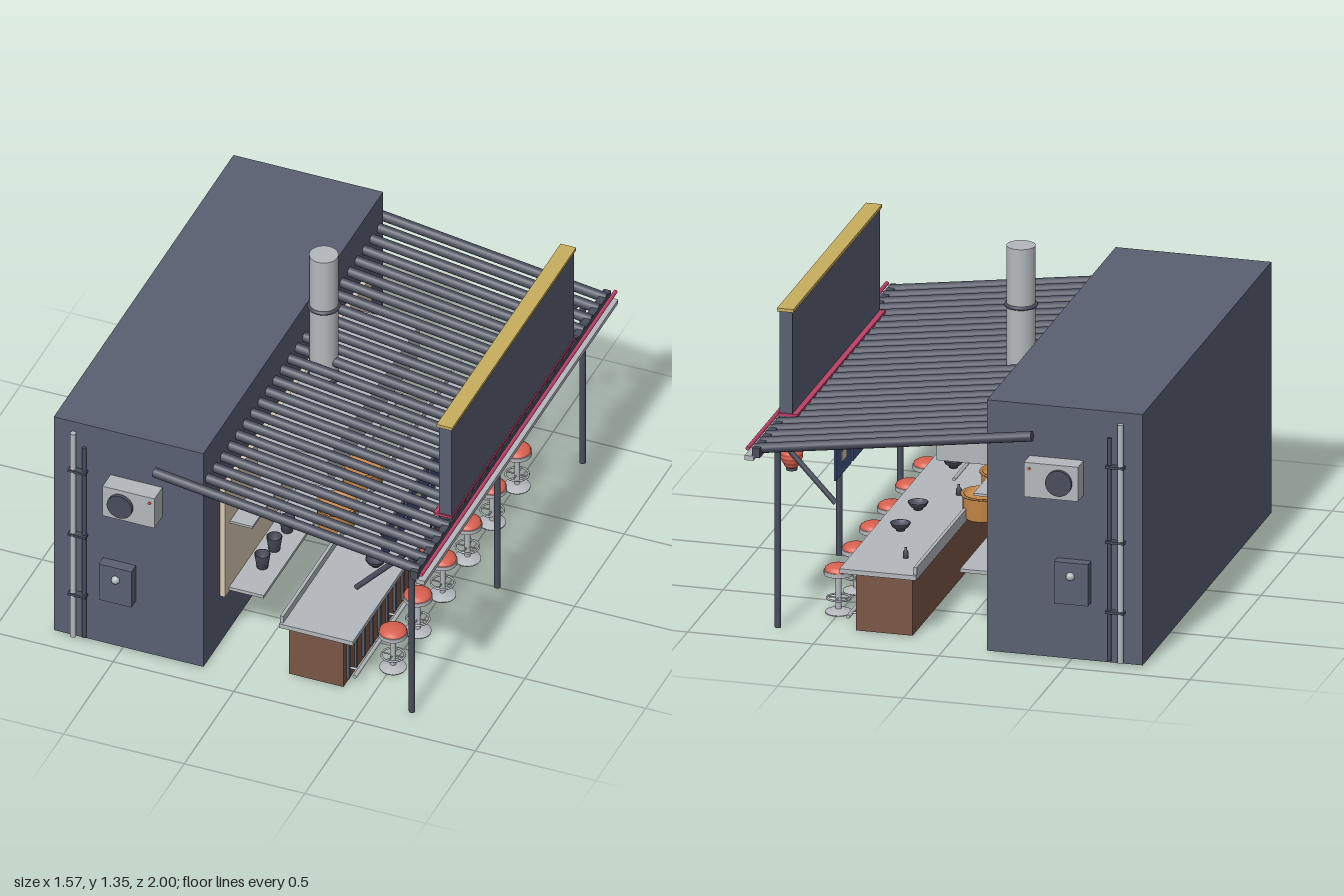
import * as THREE from 'three';

const mat = (name, color) => {
  const m = new THREE.MeshStandardMaterial({ color, side: THREE.DoubleSide });
  m.name = name;
  return m;
};

export function createModel() {
  const root = new THREE.Group();
  root.name = 'noodleBar';
  const wall = mat('slate wall', 0x5a6072), dark = mat('dark metal', 0x484d5b);
  const steel = mat('pale steel', 0xb4b8bc), wood = mat('brown wood', 0x7a5646);
  const copper = mat('copper', 0xc98a4b), cream = mat('cream', 0xd8cbb4);
  const blue = mat('banner blue', 0x405280), pink = mat('neon pink', 0xbb4068);
  const gold = mat('gold trim', 0xc8ad5f), red = mat('lantern red', 0xd9604f);

  // helpers: box by min/max, rod between two points, lathe from [r, y] pairs
  const add = (name, geo, m, parent = root) => {
    const mesh = new THREE.Mesh(geo, m);
    mesh.name = name;
    parent.add(mesh);
    return mesh;
  };
  const box = (name, m, x0, x1, y0, y1, z0, z1, parent) => {
    const b = add(name, new THREE.BoxGeometry(x1 - x0, y1 - y0, z1 - z0), m, parent);
    b.position.set((x0 + x1) / 2, (y0 + y1) / 2, (z0 + z1) / 2);
    return b;
  };
  const rod = (name, m, a, b, r, parent, sides = 14) => {
    const p = new THREE.Vector3(...a), q = new THREE.Vector3(...b);
    const c = add(name, new THREE.CylinderGeometry(r, r, p.distanceTo(q), sides), m, parent);
    c.position.copy(p).add(q).multiplyScalar(0.5);
    c.quaternion.setFromUnitVectors(new THREE.Vector3(0, 1, 0), q.sub(p).normalize());
    return c;
  };
  const lathe = (name, m, pts, x, y, z, parent, seg = 24) => {
    const l = add(name, new THREE.LatheGeometry(pts.map(p => new THREE.Vector2(...p)), seg), m, parent);
    l.position.set(x, y, z);
    return l;
  };
  const ring = (name, m, r, t, x, y, z, parent) => {
    const o = add(name, new THREE.TorusGeometry(r, t, 8, 28), m, parent);
    o.rotation.x = Math.PI / 2;
    o.position.set(x, y, z);
    return o;
  };
  const group = name => {
    const g = new THREE.Group();
    g.name = name;
    root.add(g);
    return g;
  };

  // main block and the serving wall
  box('building', wall, -0.785, -0.165, 0.005, 1.025, -0.905, 0.905);
  box('servingPanel', cream, -0.166, -0.143, 0.23, 0.75, -0.74, 0.74);
  box('lowerShelf', steel, -0.145, 0, 0.237, 0.251, -0.7, 0.7);
  box('upperShelf', steel, -0.145, -0.05, 0.55, 0.56, -0.69, 0.69);

  // equipment on both end walls
  for (const s of [1, -1]) {
    const g = group(s > 0 ? 'frontWallEquipment' : 'backWallEquipment');
    const zbox = (n, m, x0, x1, y0, y1, d) =>
      box(n, m, x0, x1, y0, y1, Math.min(s * 0.9, s * d), Math.max(s * 0.9, s * d), g);
    zbox('coolingUnit', steel, -0.55, -0.335, 0.675, 0.815, 0.985);
    rod('coolingFan', dark, [-0.475, 0.745, s * 0.95], [-0.475, 0.745, s], 0.052, g, 28);
    rod('statusLight', red, [-0.355, 0.79, s * 0.97], [-0.355, 0.79, s * 0.99], 0.006, g);
    zbox('meterBox', wall, -0.58, -0.445, 0.24, 0.41, 0.95);
    const knob = add('meterKnob', new THREE.SphereGeometry(0.017, 16, 10), steel, g);
    knob.position.set(-0.51, 0.355, s * 0.952);
    rod('drainPipe', steel, [-0.7, 0.01, s * 0.917], [-0.7, 0.98, s * 0.917], 0.012, g);
    rod('cablePipe', dark, [-0.655, 0.015, s * 0.914], [-0.655, 0.92, s * 0.914], 0.008, g);
    for (const y of [0.215, 0.5, 0.805])
      zbox('pipeBracket', dark, -0.717, -0.643, y - 0.005, y + 0.005, 0.932);
  }

  // hood and chimney
  box('hood', steel, -0.143, 0.15, 0.612, 0.755, -0.505, 0.415);
  rod('chimney', steel, [-0.058, 0.75, -0.047], [-0.058, 1.35, -0.047], 0.056, root, 32);
  for (const y of [0.775, 1.11]) ring('chimneyBand', dark, 0.057, 0.008, -0.058, y, -0.047);
  rod('hoodRail', steel, [0.03, 0.605, -0.68], [0.03, 0.605, 0.68], 0.007);

  // roof of sloping tubes
  const roof = group('roof');
  for (let i = 0; i < 26; i++) {
    const z = -0.94 + i * 0.0752;
    rod('roofTube', dark, [-0.355, 0.907, z], [0.745, 0.752, z], 0.02, roof);
  }
  box('frontBeam', dark, 0.72, 0.75, 0.725, 0.765, -0.975, 0.975, roof);
  box('gutter', steel, 0.745, 0.78, 0.712, 0.731, -0.975, 0.975, roof);
  rod('neonTube', pink, [0.767, 0.762, -0.98], [0.767, 0.762, 0.98], 0.008, roof);

  // sign board
  box('signBoard', wall, 0.692, 0.744, 0.75, 1.2, -0.615, 0.615);
  box('signCap', gold, 0.685, 0.75, 1.2, 1.213, -0.625, 0.625);
  box('signNeon', pink, 0.67, 0.748, 0.774, 0.785, -0.62, 0.62);

  // posts and braces
  for (const z of [-0.86, 0, 0.86]) {
    rod('post', dark, [0.68, 0.003, z], [0.68, 0.765, z], 0.0125);
    rod('brace', dark, [0.45, 0.53, z], [0.67, 0.765, z], 0.011);
  }

  // hanging banners with a pale patch on each side
  rod('bannerRod', dark, [0.495, 0.702, -0.72], [0.495, 0.702, 0.72], 0.006);
  for (let i = 0; i < 6; i++) {
    const z = -0.6 + i * 0.24;
    box('banner', blue, 0.491, 0.499, 0.563, 0.702, z - 0.11, z + 0.11);
    box('bannerPatch', cream, 0.489, 0.501, 0.615, 0.655, z - 0.035, z + 0.035);
  }

  // ribbed lanterns
  const ribs = [];
  for (let i = 0; i <= 24; i++) {
    const t = i / 24, belly = 0.022 + 0.022 * Math.sin(Math.PI * t);
    ribs.push([belly - (i % 4 === 0 ? 0.003 : 0), -0.052 + 0.104 * t]);
  }
  for (const z of [-0.668, -0.334, 0, 0.334, 0.668]) {
    const g = group('lantern');
    lathe('lanternShade', red, ribs, 0.68, 0.64, z, g);
    rod('lanternTop', dark, [0.68, 0.69, z], [0.68, 0.702, z], 0.022, g);
    rod('lanternBottom', dark, [0.68, 0.578, z], [0.68, 0.59, z], 0.022, g);
    rod('lanternCord', dark, [0.68, 0.7, z], [0.68, 0.76, z], 0.003, g);
  }

  // customer counter
  const bar = group('counter');
  box('counterBody', wood, 0.155, 0.38, 0.005, 0.246, -0.82, 0.82, bar);
  box('counterTop', steel, 0.13, 0.435, 0.245, 0.264, -0.86, 0.86, bar);
  box('counterLedge', steel, 0.13, 0.143, 0.26, 0.295, -0.85, 0.85, bar);
  for (let i = 0; i < 21; i++) {
    const z = -0.78 + i * 0.078;
    box('counterSlat', wall, 0.378, 0.389, 0.02, 0.225, z - 0.007, z + 0.007, bar);
  }
  rod('footRail', steel, [0.418, 0.05, -0.8], [0.418, 0.05, 0.8], 0.008, bar);
  for (let i = 0; i < 5; i++) {
    const z = -0.75 + i * 0.375;
    rod('railBracket', steel, [0.38, 0.05, z], [0.418, 0.05, z], 0.005, bar);
  }

  // stools
  for (let i = 0; i < 6; i++) {
    const g = group('stool'), z = -0.625 + i * 0.25, x = 0.505;
    lathe('stoolBase', steel, [[0, 0], [0.052, 0], [0.052, 0.006], [0.014, 0.016], [0, 0.016]], x, 0, z, g);
    rod('stoolPost', steel, [x, 0.01, z], [x, 0.16, z], 0.011, g);
    ring('stoolFootRing', steel, 0.045, 0.004, x, 0.06, z, g);
    rod('ringSpoke', steel, [x - 0.045, 0.06, z], [x + 0.045, 0.06, z], 0.003, g, 8);
    rod('ringSpoke', steel, [x, 0.06, z - 0.045], [x, 0.06, z + 0.045], 0.003, g, 8);
    rod('stoolRim', steel, [x, 0.156, z], [x, 0.173, z], 0.057, g, 28);
    lathe('stoolCushion', red, [[0.054, 0.172], [0.052, 0.183], [0.04, 0.191], [0.02, 0.195], [0, 0.196]], x, 0, z, g);
  }

  // cooking pots
  for (const z of [0.165, -0.1]) {
    lathe('pot', copper, [[0, 0.247], [0.065, 0.247], [0.075, 0.258], [0.075, 0.338], [0.083, 0.341],
      [0.083, 0.347], [0.07, 0.346], [0.07, 0.325], [0, 0.325]], 0.082, 0, z, root, 28);
  }

  // tableware
  for (const z of [0.53, 0.41, 0.28, -0.34, -0.475])
    lathe('cup', dark, [[0, 0], [0.022, 0], [0.031, 0.062], [0.027, 0.062], [0.02, 0.008], [0, 0.008]], -0.075, 0.251, z);
  for (const z of [0.373, -0.125, -0.373])
    lathe('bowl', dark, [[0, 0], [0.018, 0], [0.018, 0.006], [0.032, 0.016], [0.04, 0.031],
      [0.036, 0.031], [0.026, 0.016], [0, 0.01]], 0.33, 0.264, z);
  const bottle = [[0, 0], [0.011, 0], [0.011, 0.024], [0.005, 0.032], [0.005, 0.042], [0, 0.042]];
  for (const z of [0.078, -0.67]) lathe('sauceBottle', dark, bottle, 0.225, 0.264, z, root, 14);
  for (const z of [-0.54, 0.1])
    lathe('shelfBottle', copper, bottle.map(([r, y]) => [r, y * 1.5]), -0.1, 0.56, z, root, 14);

  return root;
}
